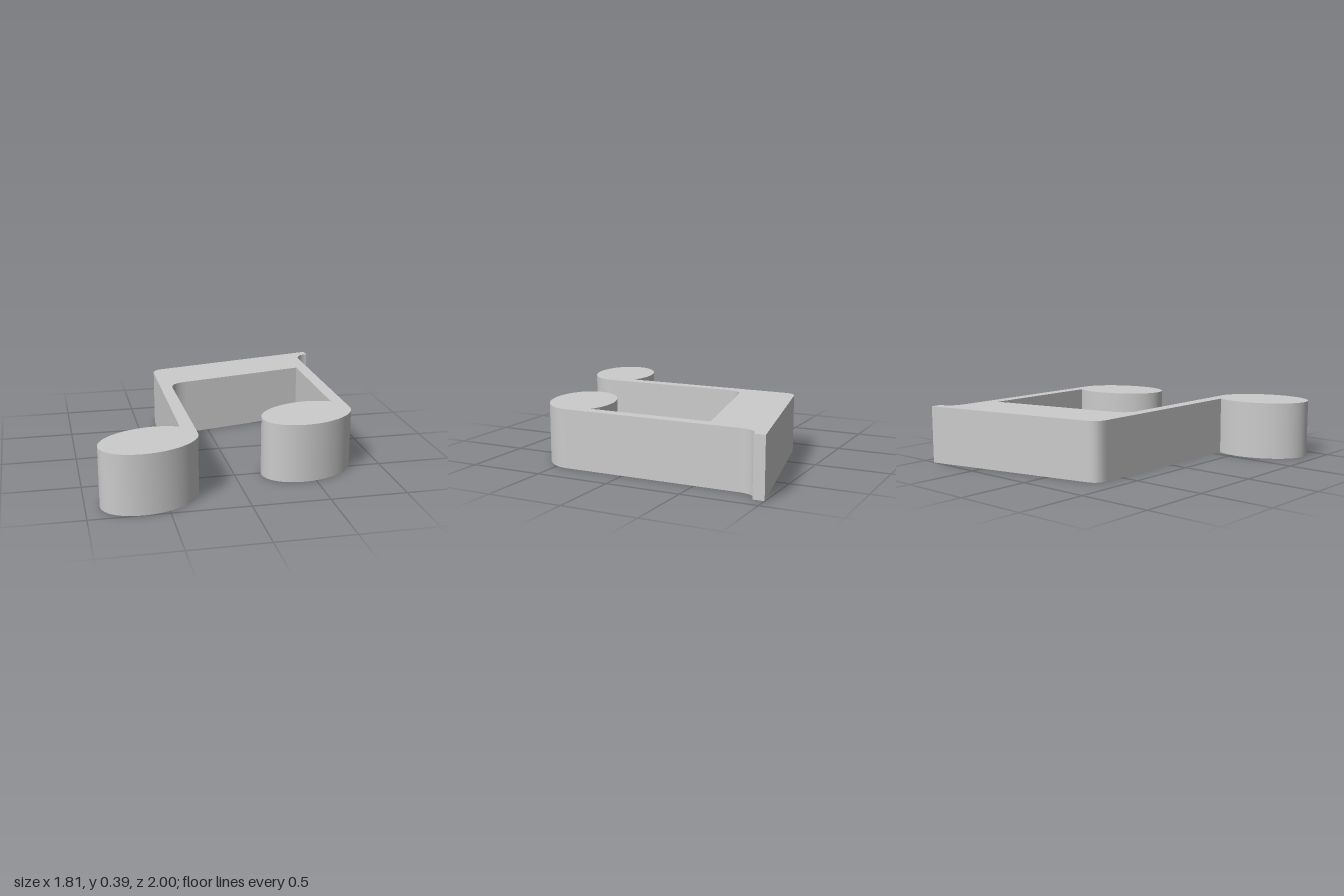
import * as THREE from 'three';
import { toCreasedNormals } from 'three/addons/utils/BufferGeometryUtils.js';

const HEIGHT = 0.39;

// Tilted oval head, run from the stem's left side round to its right side
function addHead(shape, x, y) {
  shape.absellipse(x, y, 0.324, 0.218, 0.56, 2 * Math.PI - 0.22, false, 0.323);
}

// Outline drawn flat, counter-clockwise, with its y pointing to the back
function noteOutline() {
  const s = new THREE.Shape();
  // left head and inner side of its stem
  addHead(s, -0.595, -0.77);
  s.lineTo(-0.285, 0.25);
  // underside of the beam, rounded into the left stem
  s.bezierCurveTo(-0.285, 0.325, -0.24, 0.358, -0.16, 0.375);
  s.lineTo(0.72, 0.57);
  // right stem and head
  s.lineTo(0.72, -0.275);
  addHead(s, 0.49, -0.47);
  s.lineTo(0.805, 0.79);
  // flared tip of the beam
  s.bezierCurveTo(0.805, 0.87, 0.84, 0.92, 0.905, 0.925);
  s.lineTo(0.905, 1);
  // top of the beam and rounded left corner
  s.lineTo(-0.29, 0.735);
  s.bezierCurveTo(-0.34, 0.722, -0.365, 0.695, -0.365, 0.63);
  s.closePath();
  return s;
}

export function createModel() {
  const group = new THREE.Group();
  group.name = 'beamedMusicNote';

  const extruded = new THREE.ExtrudeGeometry(noteOutline(), {
    depth: HEIGHT, bevelEnabled: false, curveSegments: 32,
  });
  extruded.rotateX(-Math.PI / 2);

  const note = new THREE.Mesh(
    toCreasedNormals(extruded, Math.PI / 6),
    new THREE.MeshStandardMaterial({ color: 0xcccccc }),
  );
  note.name = 'noteBody';
  group.add(note);
  return group;
}
